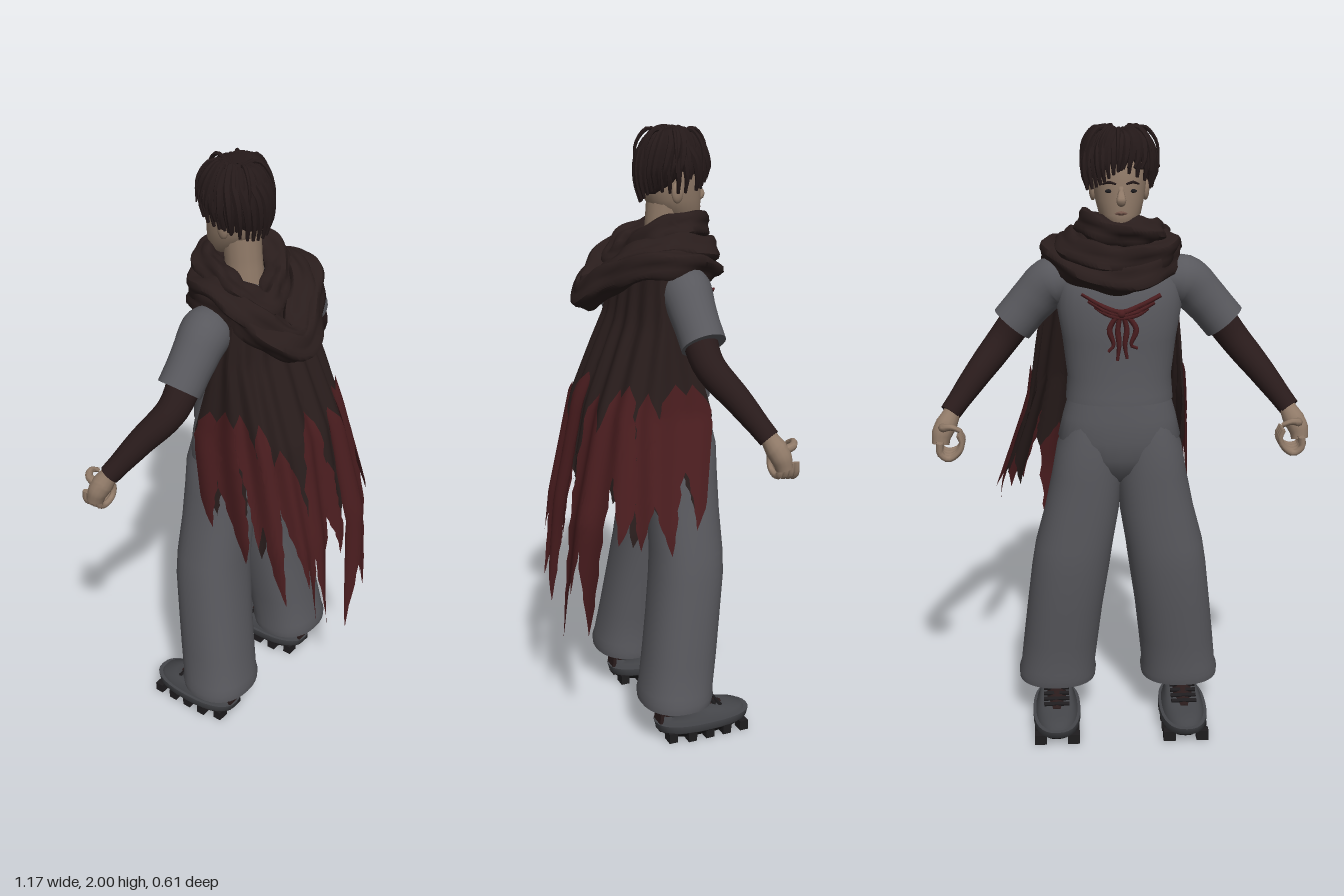
import * as THREE from 'three';
import { mergeVertices, mergeGeometries, toCreasedNormals } from 'three/addons/utils/BufferGeometryUtils.js';

const mat = (name, color, side = THREE.FrontSide) => {
  const m = new THREE.MeshStandardMaterial({ color, side });
  m.name = name;
  return m;
};
const V = (x, y, z) => new THREE.Vector3(x, y, z);
const lerp = THREE.MathUtils.lerp;

// Linear lookup in a list of numbers, t from 0 to 1
const sample = (list, t) => {
  const f = Math.min(t, 1) * (list.length - 1), i = Math.min(Math.floor(f), list.length - 2);
  return lerp(list[i], list[i + 1], f - i);
};

// Surface from a rule: fn(u, v) gives a point
function grid(nu, nv, fn, crease = 0.9) {
  const pos = [], idx = [], w = nu + 1;
  for (let j = 0; j <= nv; j++) for (let i = 0; i <= nu; i++) pos.push(...fn(i / nu, j / nv).toArray());
  for (let j = 0; j < nv; j++) for (let i = 0; i < nu; i++) {
    const a = j * w + i, b = a + 1, d = a + w, c = d + 1;
    idx.push(a, d, b, b, d, c);
  }
  const g = new THREE.BufferGeometry();
  g.setAttribute('position', new THREE.Float32BufferAttribute(pos, 3));
  g.setIndex(idx);
  return toCreasedNormals(mergeVertices(g, 1e-5), crease);
}

// Horizontal oval sections [x, y, z, rx, rz], listed from low to high, closed at both ends
function loft(sections, power = 1, n = 32) {
  const first = sections[0], last = sections[sections.length - 1];
  const s = [[...first.slice(0, 3), 0, 0], ...sections, [...last.slice(0, 3), 0, 0]];
  const bend = c => Math.sign(c) * Math.abs(c) ** power;
  return grid(n, s.length - 1, (u, v) => {
    const [x, y, z, rx, rz] = s[Math.round(v * (s.length - 1))], a = (u % 1) * Math.PI * 2;
    return V(x + rx * bend(Math.cos(a)), y, z + rz * bend(Math.sin(a)));
  });
}

// Tube with changing radius and closed ends
function limb(points, radii, segs = 16, sides = 14) {
  const curve = new THREE.CatmullRomCurve3(points.map(p => V(...p)));
  const g = new THREE.TubeGeometry(curve, segs, 1, sides);
  const p = g.attributes.position, v = V(0, 0, 0);
  for (let i = 0; i <= segs; i++) {
    const c = curve.getPointAt(i / segs);
    const cap = i === 0 || i === segs;
    const to = curve.getPointAt(i <= 1 ? 0 : i >= segs - 1 ? 1 : i / segs);
    for (let j = 0; j <= sides; j++) {
      const k = i * (sides + 1) + j;
      v.fromBufferAttribute(p, k).sub(c).multiplyScalar(cap ? 0 : sample(radii, i / segs)).add(to);
      p.setXYZ(k, v.x, v.y, v.z);
    }
  }
  g.deleteAttribute('uv');
  g.deleteAttribute('normal');
  return toCreasedNormals(mergeVertices(g, 1e-5), 0.9);
}

// Closed loop of rumpled cloth
function clothRing(points, radius, phase) {
  const g = new THREE.TubeGeometry(new THREE.CatmullRomCurve3(points.map(p => V(...p)), true), 96, radius, 20, true);
  const p = g.attributes.position, n = g.attributes.normal;
  for (let k = 0; k < p.count; k++) {
    const a = Math.floor(k / 21) / 96 * Math.PI * 2, b = (k % 21) / 20 * Math.PI * 2;
    const r = 0.008 * Math.sin(4 * b + 2 * a + phase) + 0.004 * Math.sin(2 * b - 7 * a + phase);
    p.setXYZ(k, p.getX(k) + n.getX(k) * r, p.getY(k) + n.getY(k) * r, p.getZ(k) + n.getZ(k) * r);
  }
  g.deleteAttribute('uv');
  g.deleteAttribute('normal');
  return toCreasedNormals(mergeVertices(g, 1e-5), 0.9);
}

// Cape surface: outlines (x, z) at five heights, from one front edge round the back to the other
const capeY = [1.6, 1.42, 1.15, 0.8, 0.35];
const capeCurves = [
  [[-.17, -.03], [-.175, .01], [-.1, .04], [0, .05], [.1, .04], [.2, .01], [.22, -.04]],
  [[-.185, -.07], [-.19, .01], [-.12, .06], [0, .08], [.12, .07], [.22, .02], [.245, -.07]],
  [[-.2, -.14], [-.195, .05], [-.15, .16], [0, .185], [.15, .17], [.26, .08], [.28, -.14]],
  [[-.21, -.1], [-.215, .12], [-.15, .24], [-.01, .25], [.18, .25], [.36, .12], [.4, -.06]],
  [[-.2, .0], [-.19, .15], [-.13, .3], [-.03, .28], [.13, .29], [.42, .15], [.44, .0]],
].map(c => new THREE.CatmullRomCurve3(c.map(([x, z]) => V(x, 0, z))));
function capePoint(u, y, off = 0) {
  let k = 0;
  while (k < capeY.length - 2 && y < capeY[k + 1]) k++;
  const p = capeCurves[k].getPoint(u).lerp(capeCurves[k + 1].getPoint(u), (capeY[k] - y) / (capeY[k] - capeY[k + 1]));
  const out = V(p.x, 0, p.z + 0.12).normalize();
  p.addScaledVector(out, off + 0.009 * Math.sin(u * 60) * Math.min(1, (1.65 - y) * 3));
  return p.setY(y);
}
// One torn strip of cloth, pointed below and notched above
const shard = ([u, w, top, tip], off) => grid(8, 20, (a, t) => {
  const half = w * (0.7 + 0.3 * Math.min(1, t * 4)) * (1 - t ** 2.4) * (1 + 0.1 * Math.sin(t * 41 + u * 50));
  const uu = THREE.MathUtils.clamp(u + (a * 2 - 1) * half + 0.012 * Math.sin(t * 5 + u * 30), 0, 1);
  return capePoint(uu, lerp(top + 0.05 * (1 - Math.abs(a * 2 - 1)) * (1 - t), tip, t), off);
});

export function createModel() {
  const model = new THREE.Group();
  model.name = 'cloakedFigure';
  const grey = mat('grey cloth', 0x58585d), skin = mat('skin', 0x907a68), sleeve = mat('dark sleeve', 0x291b1b);
  const cloth = mat('dark brown cloth', 0x291d1c, THREE.DoubleSide), red = mat('dark red cloth', 0x4a1d1f, THREE.DoubleSide);
  const hairMat = mat('hair', 0x241919), black = mat('sole black', 0x1e1c1e), shoeGrey = mat('shoe grey', 0x444549);
  const lip = mat('lips', 0x75574c);
  const add = (name, geo, material, x = 0, y = 0, z = 0) => {
    const m = new THREE.Mesh(geo, material);
    m.name = name;
    m.position.set(x, y, z);
    model.add(m);
    return m;
  };

  // Shirt with an overhanging hem, and trouser seat
  add('shirt', loft([[0, 1.17, -.117, .15, .1], [0, 1.155, -.117, .17, .119], [0, 1.18, -.117, .168, .118], [0, 1.23, -.115, .164, .112], [0, 1.35, -.115, .178, .118],
    [0, 1.45, -.112, .195, .116], [0, 1.52, -.105, .19, .105], [0, 1.57, -.095, .165, .09], [0, 1.61, -.09, .11, .07], [0, 1.64, -.09, .06, .05]], .9), grey);
  add('trouserSeat', loft([[0, .88, -.115, .05, .05], [0, .92, -.115, .1, .09], [0, .97, -.115, .17, .11], [0, 1.03, -.115, .196, .118],
    [0, 1.1, -.115, .18, .117], [0, 1.17, -.115, .16, .11]], .85), grey);

  // Head, neck and face
  add('neck', limb([[0, 1.56, -.08], [0, 1.68, -.09], [0, 1.8, -.1]], [.062, .058, .06]), skin);
  add('head', loft([[0, 1.695, -.17, .025, .03], [0, 1.71, -.16, .045, .053], [0, 1.74, -.138, .064, .077], [0, 1.78, -.123, .074, .092],
    [0, 1.82, -.117, .08, .097], [0, 1.87, -.113, .083, .098], [0, 1.92, -.11, .077, .086], [0, 1.95, -.11, .05, .055]]), skin);
  add('nose', limb([[0, 1.825, -.208], [0, 1.8, -.216], [0, 1.783, -.219], [0, 1.778, -.205]], [.007, .01, .015, .012]), skin);
  add('mouth', limb([[-.024, 1.745, -.204], [0, 1.748, -.214], [.024, 1.745, -.204]], [.003, .007, .003], 10, 8), lip);

  // Hair cap with uneven hanging locks in two layers, and a few loose ones on top
  add('hairCap', loft([[0, 1.8, -.06, .05, .04], [0, 1.83, -.072, .078, .062], [0, 1.87, -.086, .093, .08], [0, 1.9, -.102, .098, .098],
    [0, 1.93, -.114, .093, .098], [0, 1.955, -.116, .075, .08], [0, 1.972, -.116, .04, .045]]), hairMat);
  const locks = [];
  for (let k = 0; k < 64; k++) {
    const a = k / 32 * Math.PI * 2 + (k > 31 ? .1 : 0), c = Math.cos(a), s = Math.sin(a);
    const wob = Math.sin(k * 12.9 + 1), wob2 = Math.sin(k * 7.3), size = (k > 31 ? .92 : 1) + .04 * wob2;
    const end = (s > 0 ? lerp(1.83, 1.79, s) : lerp(1.83, 1.86, -s)) + .026 * wob;
    const at = (r, y, da = 0) => [r * size * Math.cos(a + da), y, -.118 + r * size * Math.sin(a + da)];
    locks.push(limb([at(.018, 1.955 + .014 * Math.abs(c)), at(.05, 1.972 + .018 * Math.abs(c)), at(.088, 1.947 + .01 * wob), at(.109, 1.9, .13 * wob),
      at(.113, lerp(1.9, end, .6), .2 * wob), at(s < 0 ? .106 : .1, end, .22 * wob)], [.009, .013, .015, .013, .009, .002], 12, 6));
  }
  for (let k = 0; k < 7; k++) {
    const a = k * .9 + .3, c = Math.cos(a), s = Math.sin(a);
    locks.push(limb([[.02 * c, 1.965, -.118 + .02 * s], [.07 * c, 1.992, -.118 + .07 * s], [.112 * c, 1.95, -.118 + .108 * s], [.122 * c, 1.87, -.118 + .114 * s]],
      [.005, .007, .005, .002], 12, 6));
  }
  add('hairLocks', mergeGeometries(locks), hairMat);

  // Scarf in three loose loops, hanging low on one side of the back
  add('scarfCollar', clothRing([[.095, 1.705, -.1], [.085, 1.68, -.03], [.03, 1.625, .01], [-.06, 1.59, .04], [-.125, 1.635, -.02], [-.11, 1.665, -.1],
    [-.07, 1.685, -.18], [0, 1.69, -.2], [.07, 1.705, -.175]], .04, 0), cloth);
  add('scarfMiddle', clothRing([[.15, 1.64, -.09], [.11, 1.62, .03], [.03, 1.56, .09], [-.05, 1.51, .12], [-.13, 1.57, .06], [-.15, 1.63, -.06],
    [-.11, 1.62, -.17], [0, 1.61, -.21], [.12, 1.625, -.18]], .044, 2), cloth);
  add('scarfDrape', clothRing([[.2, 1.61, -.06], [.16, 1.6, .04], [.06, 1.55, .11], [-.05, 1.48, .155], [-.125, 1.53, .09], [-.15, 1.595, -.02],
    [-.145, 1.59, -.11], [-.08, 1.565, -.195], [.01, 1.55, -.225], [.12, 1.575, -.185]], .044, 4), cloth);

  // Cape with a torn hem
  add('cape', grid(120, 20, (u, v) => capePoint(u, lerp(1.6, 1.0 + .08 * Math.sin(u * 43) * Math.sin(u * 17), v))), cloth);
  const tears = [[.035, .045, 1.2, .82], [.11, .05, 1.22, .73], [.18, .045, 1.22, .8], [.245, .045, 1.2, .59], [.335, .045, 1.12, .66],
    [.375, .035, 1.05, .51], [.465, .06, 1.19, .44], [.535, .028, 1.0, .7], [.615, .055, 1.15, .36], [.66, .035, 1.06, .55], [.705, .045, 1.18, .43],
    [.77, .045, 1.2, .77], [.835, .045, 1.18, .76], [.905, .05, 1.2, .74], [.97, .045, 1.2, .82]];
  add('redTears', mergeGeometries(tears.map(t => shard(t, .008))), red);
  const under = [];
  for (let k = 0; k < 13; k++) under.push(shard([.04 + k * .077, .05, 1.14, .82 + .07 * Math.sin(k * 2.3)], -.006));
  add('darkTears', mergeGeometries(under), cloth);

  // Red cords tied on the chest
  const cords = [0, -.022, -.04].map((d, k) => [[-.12 + k * .02, 1.5 + d, -.214], [-.05, 1.468 + d * .6, -.231],
    [0, 1.452 + d * .4, -.235], [.05, 1.468 + d * .5, -.231], [.12 - k * .02, 1.505 + d, -.214]]);
  for (const x of [-.05, -.018, .012, .04]) cords.push([[x * .2, 1.45, -.235], [x * .9, 1.4, -.234], [x * .6, 1.35, -.235], [x, 1.29 + Math.abs(x), -.234]]);
  add('chestCords', mergeGeometries(cords.map(c => limb(c, [.007, .009, .004], 14, 8))), red);
  add('chestKnot', new THREE.SphereGeometry(.014, 12, 8), red, 0, 1.448, -.235);

  for (const side of [1, -1]) {
    const label = side > 0 ? 'left' : 'right';
    const pts = list => list.map(([x, y, z]) => [x * side, y, z]);

    // Eyes, brows and ears
    add(label + 'Eye', new THREE.SphereGeometry(1, 12, 8), black, side * .034, 1.812, -.203).scale.set(.014, .006, .005);
    add(label + 'Brow', limb(pts([[.015, 1.833, -.211], [.035, 1.838, -.206], [.054, 1.831, -.192]]), [.003, .005, .002], 8, 6), hairMat);
    add(label + 'Ear', new THREE.SphereGeometry(1, 12, 10), skin, side * .08, 1.805, -.105).scale.set(.012, .033, .02);

    // Arm
    add(label + 'ShortSleeve', limb(pts([[.13, 1.53, -.095], [.21, 1.515, -.08], [.27, 1.46, -.077], [.335, 1.385, -.08]]), [.06, .082, .074, .07, .07], 18, 24), grey);
    add(label + 'LongSleeve', limb(pts([[.28, 1.45, -.078], [.365, 1.335, -.08], [.45, 1.235, -.143], [.53, 1.135, -.205]]), [.056, .051, .047, .04, .031], 18, 18), sleeve);

    // Hand with curled fingers
    add(label + 'Palm', limb(pts([[.513, 1.155, -.195], [.538, 1.11, -.22], [.556, 1.075, -.235], [.56, 1.045, -.243]]), [.027, .028, .034, .032, .025]), skin);
    const fingers = [.228, .247, .265, .282].map((z, k) => limb(pts([[.56, 1.06, -z], [.56, 1.028, -z], [.535, 1.018 - .003 * k, -z],
      [.503, 1.03, -z], [.492, 1.06, -z], [.502, 1.085, -z]]), [.011, .011, .01, .009, .007], 14, 8));
    fingers.push(limb(pts([[.552, 1.1, -.245], [.546, 1.108, -.277], [.523, 1.114, -.29], [.497, 1.102, -.285]]), [.015, .013, .01, .007], 12, 8));
    add(label + 'Fingers', mergeGeometries(fingers), skin);

    // Wide trouser leg
    add(label + 'TrouserLeg', loft([[.21, .17, -.05, .115, .11], [.21, .14, -.05, .13, .12], [.209, .165, -.052, .132, .124], [.207, .19, -.055, .126, .121],
      [.195, .3, -.072, .126, .12], [.18, .43, -.09, .126, .119], [.16, .58, -.11, .128, .119], [.148, .66, -.114, .127, .117],
      [.122, .78, -.115, .121, .115], [.106, .9, -.115, .112, .115], [.1, 1.0, -.115, .1, .114], [.09, 1.08, -.115, .08, .1]].map(([x, ...r]) => [x * side, ...r]), .88), grey);

    // Shoe with dark ankle, tongue, heel strap and laces
    const x = side * .215;
    add(label + 'Ankle', loft([[x, .06, -.05, .042, .05], [x, .2, -.055, .045, .05]]), sleeve);
    add(label + 'ShoeSole', loft([[x, .022, -.145, .066, .145], [x, .036, -.15, .08, .164], [x, .06, -.15, .08, .171]], .82), shoeGrey);
    add(label + 'ShoeUpper', loft([[x, .05, -.148, .073, .164], [x, .074, -.145, .067, .152], [x, .086, -.125, .059, .12],
      [x, .104, -.072, .054, .072], [x, .138, -.047, .05, .047]], .85), shoeGrey);
    add(label + 'HeelStrap', new THREE.BoxGeometry(.052, .085, .012), sleeve, x, .098, .004).rotation.x = -.1;
    add(label + 'Tongue', limb([[x, .13, -.09], [x, .09, -.14], [x, .07, -.215]], [.03, .036, .022], 12, 12), sleeve);
    for (let k = 0; k < 4; k++) add(label + 'Lace', new THREE.BoxGeometry(.085, .007, .012), black, x, .123 - k * .008, -.135 - k * .022).rotation.x = -.4;

    // Sole plate with studs along both edges
    add(label + 'SolePlate', loft([[x, .012, -.145, .06, .135], [x, .032, -.147, .077, .16]], .8), black);
    for (let k = 0; k < 5; k++) for (const s of [-1, 1])
      add(label + 'Stud', new THREE.BoxGeometry(.04, .034, .03), black, x + s * (k === 0 ? .04 : .055), .017, -.022 - k * .064);
  }
  return model;
}
